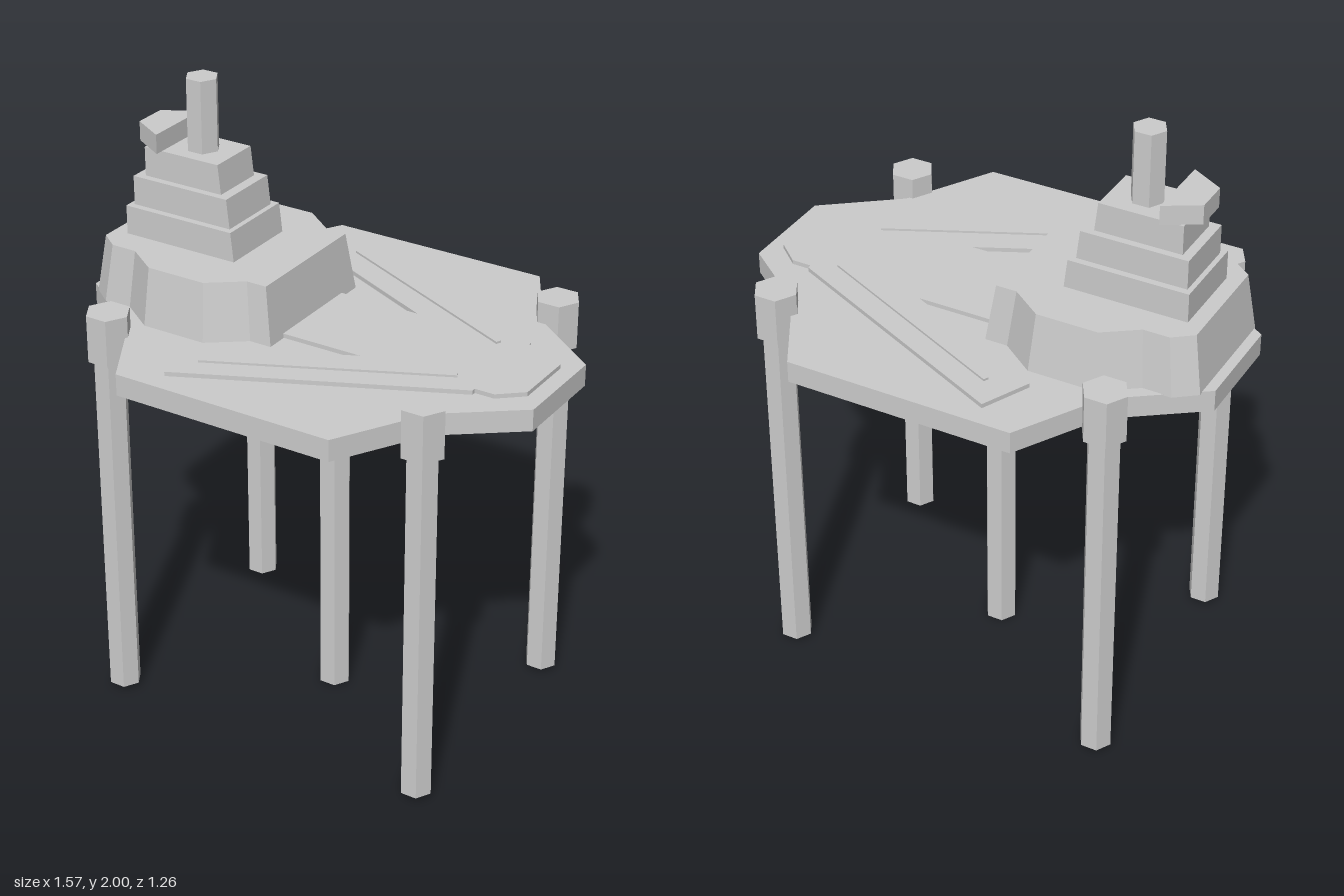
import * as THREE from 'three';

const grey = new THREE.MeshStandardMaterial({ color: 0xcccccc, flatShading: true });

function add(parent, name, geometry) {
  const mesh = new THREE.Mesh(geometry, grey);
  mesh.name = name;
  parent.add(mesh);
  return mesh;
}

// Flat slab from a plan outline of [x, z] points, between heights y0 and y1
function slab(outline, y0, y1) {
  const shape = new THREE.Shape(outline.map(([x, z]) => new THREE.Vector2(x, -z)));
  const g = new THREE.ExtrudeGeometry(shape, { depth: y1 - y0, bevelEnabled: false });
  return g.rotateX(-Math.PI / 2).translate(0, y0, 0);
}

// Full outline from one half, mirrored over z = zc
function mirrored(half, zc = 0) {
  return [...half, ...half.map(([x, z]) => [x, 2 * zc - z]).reverse()];
}

// Upright six-sided post with corners on the x axis
function hexPost(r, y0, y1) {
  return new THREE.CylinderGeometry(r, r, y1 - y0, 6)
    .rotateY(Math.PI / 6).translate(0, (y0 + y1) / 2, 0);
}

export function createModel() {
  const model = new THREE.Group();
  model.name = 'deckPlatform';

  // Main deck
  add(model, 'deck', slab(mirrored([
    [-0.787, 0.165], [-0.52, 0.355], [-0.363, 0.63],
    [0.38, 0.63], [0.545, 0.345], [0.783, 0.165],
  ]), 1.222, 1.293));

  // Raised arrow-shaped runway plate
  add(model, 'runwayPlate', slab(mirrored([
    [-0.2, 0.167], [0.2, 0.167], [-0.307, 0.405], [-0.235, 0.562],
    [0.59, 0.18], [0.59, 0.167], [0.655, 0.167], [0.73, 0.103],
  ]), 1.29, 1.307));

  // Thin rails along both runway arms
  for (const s of [-1, 1]) {
    const rail = add(model, 'runwayRail', new THREE.BoxGeometry(0.77, 0.02, 0.018));
    rail.position.set(0.16, 1.304, s * 0.288);
    rail.rotation.y = s * Math.atan2(0.325, 0.695);
  }

  // Tower base, drawn in towards the top
  const tower = new THREE.Group();
  tower.name = 'tower';
  model.add(tower);
  const cx = -0.413, cz = -0.004;
  const base = slab(mirrored([
    [-0.755, 0.193], [-0.688, 0.245], [-0.595, 0.245], [-0.48, 0.326],
    [-0.262, 0.326], [-0.147, 0.24], [-0.073, 0.24],
  ], cz), 1.29, 1.48);
  const p = base.attributes.position;
  for (let i = 0; i < p.count; i++) {
    if (p.getY(i) < 1.4) continue;
    p.setX(i, cx + (p.getX(i) - cx) * 0.92);
    p.setZ(i, cz + (p.getZ(i) - cz) * 0.92);
  }
  base.computeVertexNormals();
  add(tower, 'towerBase', base);

  // Stepped tiers with a sloping forward face: left x, right x, half depth
  [[-0.678, -0.277, 0.135], [-0.662, -0.305, 0.113], [-0.632, -0.35, 0.09]]
    .forEach(([x0, x1, d], i) => {
      const y0 = 1.48 + i * 0.095, y1 = y0 + 0.095;
      const side = new THREE.Shape([
        new THREE.Vector2(x0, y0), new THREE.Vector2(x1, y0),
        new THREE.Vector2(x1 - 0.011, y1), new THREE.Vector2(x0, y1),
      ]);
      const g = new THREE.ExtrudeGeometry(side, { depth: 2 * d, bevelEnabled: false });
      add(tower, 'towerTier', g.translate(0, 0, cz - d));
    });

  // Wedge-shaped lookout and mast
  add(tower, 'lookout', slab(mirrored([[-0.675, 0.05], [-0.567, 0.113]], cz), 1.765, 1.828));
  add(tower, 'mast', hexPost(0.053, 1.765, 2)).position.set(-0.474, 0, cz);

  // Legs with collars: x, z, foot, collar bottom, collar top, collar radius
  const corner = [0.015, 1.206, 1.362, 0.072];
  const legs = [
    [-0.547, -0.4, ...corner], [0.563, -0.4, ...corner],
    [-0.547, 0.417, ...corner], [0.563, 0.417, ...corner],
    [0.02, 0.023, 0, 0.97, 1.225, 0.08],
  ];
  for (const [x, z, foot, low, high, r] of legs) {
    const leg = new THREE.Group();
    leg.name = 'leg';
    leg.position.set(x, 0, z);
    add(leg, 'legPost', hexPost(0.053, foot, low));
    add(leg, 'legCollar', hexPost(r, low, high));
    model.add(leg);
  }

  return model;
}
